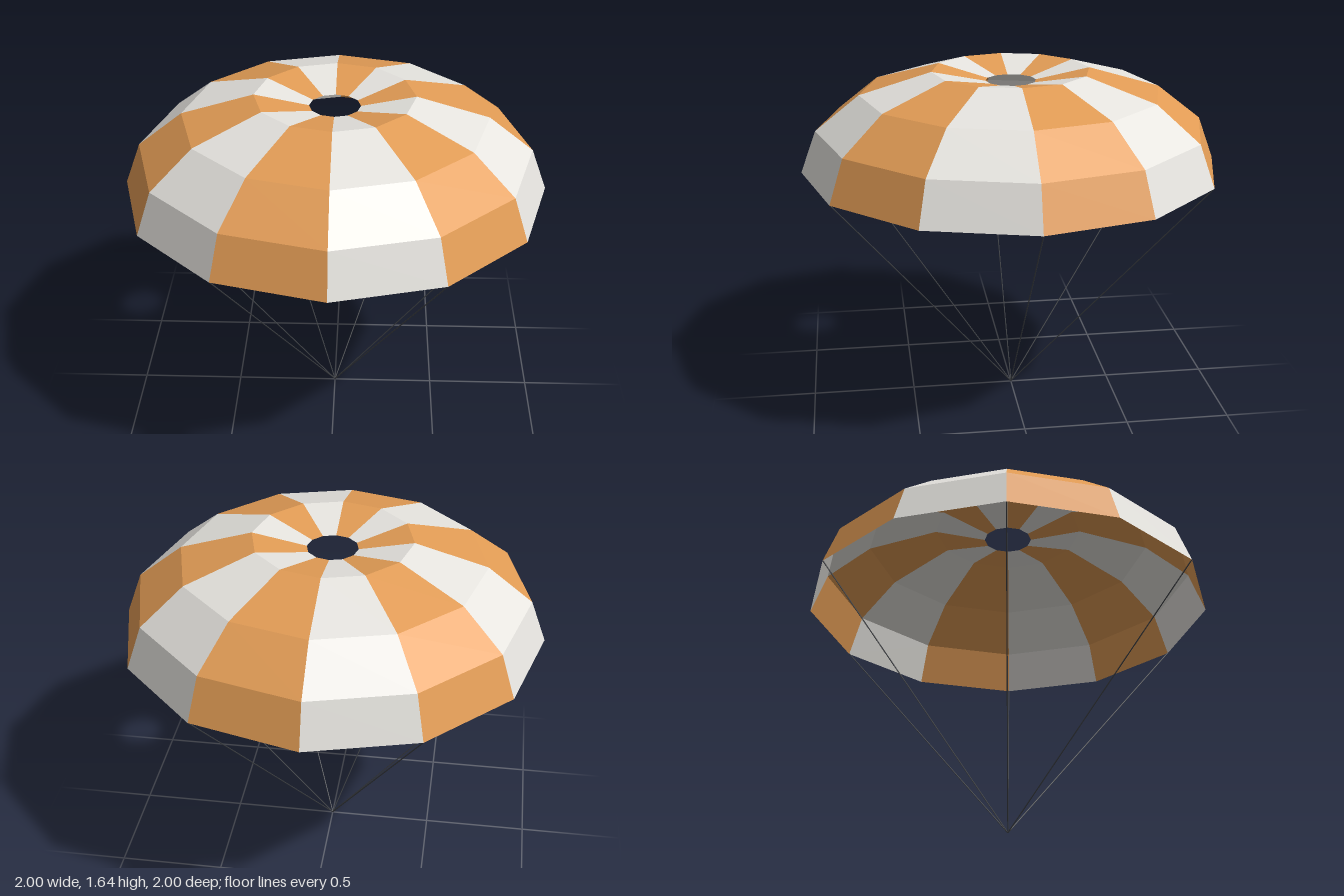
import * as THREE from 'three';

const SIDES = 12;
const RIM_Y = 1.17;
// Canopy profile from rim to vent: [radius, height]; the crown dips towards the vent
const PROFILE = [[1, RIM_Y], [0.925, 1.37], [0.715, 1.535], [0.375, 1.635], [0.12, 1.585]];

function ringPoint(k, radius, y) {
  const a = (k * Math.PI * 2) / SIDES;
  return new THREE.Vector3(Math.cos(a) * radius, y, Math.sin(a) * radius);
}

// One fabric gore: a strip of flat panels from rim to vent
function goreGeometry(k) {
  const points = [];
  for (let i = 0; i < PROFILE.length - 1; i++) {
    const a = ringPoint(k, ...PROFILE[i]);
    const b = ringPoint(k, ...PROFILE[i + 1]);
    const c = ringPoint(k + 1, ...PROFILE[i + 1]);
    const d = ringPoint(k + 1, ...PROFILE[i]);
    points.push(a, b, c, a, c, d);
  }
  const geometry = new THREE.BufferGeometry().setFromPoints(points);
  geometry.computeVertexNormals();
  return geometry;
}

// Thin cord between two points
function cordGeometry(from, to) {
  const dir = to.clone().sub(from);
  const geometry = new THREE.CylinderGeometry(0.003, 0.003, dir.length(), 5);
  const turn = new THREE.Quaternion().setFromUnitVectors(new THREE.Vector3(0, 1, 0), dir.normalize());
  geometry.applyQuaternion(turn);
  const mid = from.clone().add(to).multiplyScalar(0.5);
  return geometry.translate(mid.x, mid.y, mid.z);
}

export function createModel() {
  const model = new THREE.Group();
  model.name = 'parachute';

  const fabric = { side: THREE.DoubleSide, flatShading: true };
  const white = new THREE.MeshStandardMaterial({ name: 'white fabric', color: 0xe6e4df, ...fabric });
  const orange = new THREE.MeshStandardMaterial({ name: 'orange fabric', color: 0xe29c55, ...fabric });
  const cord = new THREE.MeshStandardMaterial({ name: 'dark cord', color: 0x3e4146 });

  // Canopy of alternating gores
  const canopy = new THREE.Group();
  canopy.name = 'canopy';
  for (let k = 0; k < SIDES; k++) {
    const gore = new THREE.Mesh(goreGeometry(k), k % 2 ? orange : white);
    gore.name = k % 2 ? 'orangeGore' : 'whiteGore';
    canopy.add(gore);
  }
  model.add(canopy);

  // Suspension lines from every second rim corner to one point
  const lines = new THREE.Group();
  lines.name = 'suspensionLines';
  for (let k = 0; k < SIDES; k += 2) {
    const line = new THREE.Mesh(cordGeometry(new THREE.Vector3(0, 0, 0), ringPoint(k, 0.998, RIM_Y)), cord);
    line.name = 'suspensionLine';
    lines.add(line);
  }
  model.add(lines);

  return model;
}
